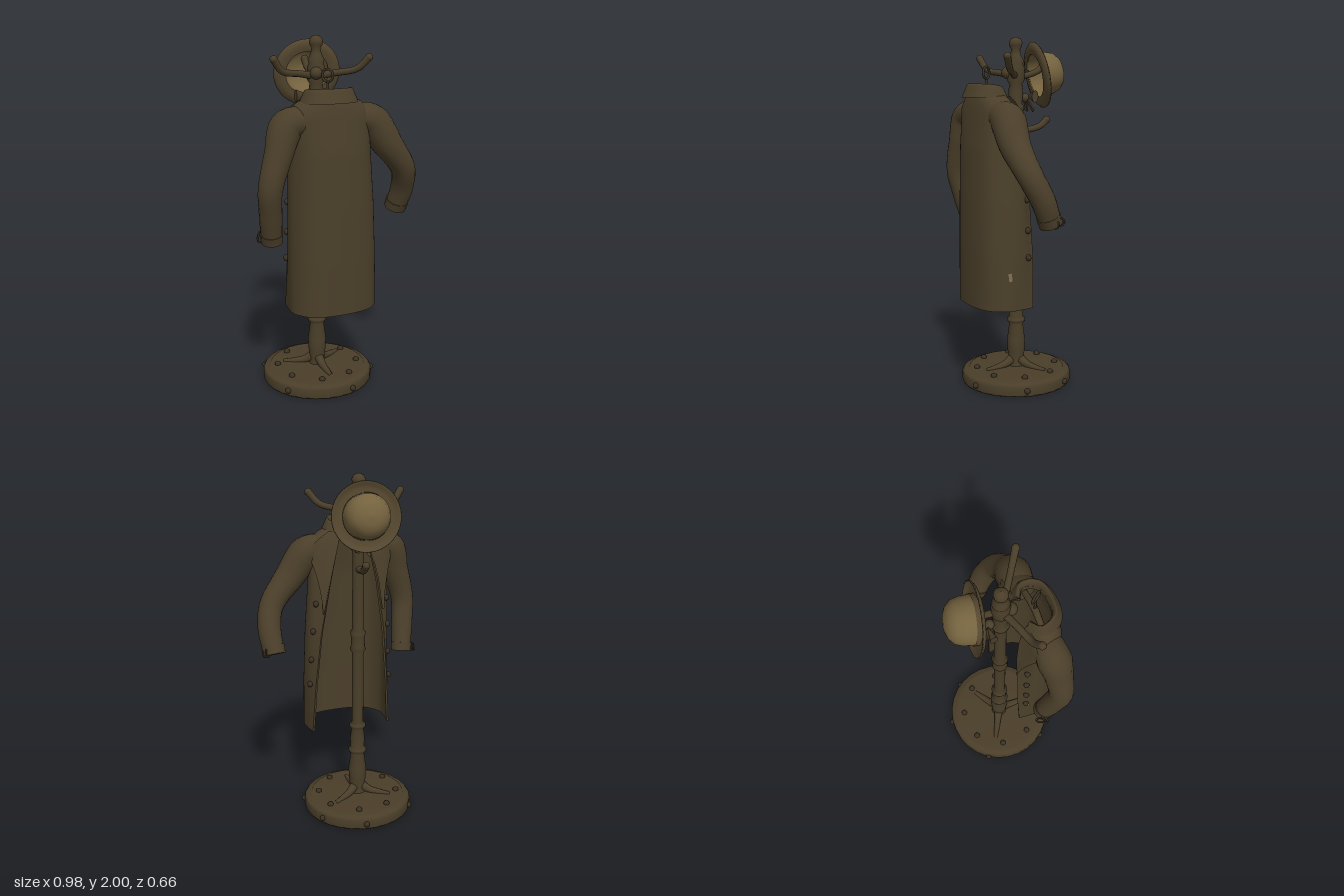
import * as THREE from 'three';

const V = (x, y, z) => new THREE.Vector3(x, y, z);
const mat = (name, color, side = THREE.FrontSide) => {
  const m = new THREE.MeshStandardMaterial({ color, side });
  m.name = name;
  return m;
};

// Coat sections: height, centre x, half width, half opening, front z, back z
const ROWS = [
  [0.5, -0.04, 0.25, 0.24, 0.04, 0.325], [0.8, -0.04, 0.247, 0.22, 0.03, 0.325],
  [1.1, -0.045, 0.24, 0.19, 0.03, 0.32], [1.4, -0.055, 0.228, 0.14, 0.04, 0.31],
  [1.52, -0.06, 0.23, 0.11, 0.06, 0.295], [1.6, -0.065, 0.235, 0.09, 0.08, 0.285],
  [1.655, -0.07, 0.19, 0.08, 0.1, 0.275], [1.69, -0.075, 0.12, 0.07, 0.12, 0.265],
];

// Point on the coat at height y; u runs from the +x opening edge round the back to the -x edge
function coatPoint(y, u, off = 0, yOut = y) {
  let i = 0;
  while (i < ROWS.length - 2 && y > ROWS[i + 1][0]) i++;
  const a = ROWS[i], b = ROWS[i + 1];
  const t = THREE.MathUtils.clamp((y - a[0]) / (b[0] - a[0]), 0, 1);
  const [, cx, hw, ex, zf, zb] = a.map((v, k) => v + (b[k] - v) * t);
  const d = zb - zf;
  const half = [[ex, zf], [hw, zf + d * 0.25], [hw, zf + d * 0.55], [hw * 0.72, zb - d * 0.12]];
  const pts = [...half, [0, zb], ...half.slice().reverse().map(([x, z]) => [-x, z])];
  const c = new THREE.CatmullRomCurve3(pts.map(([x, z]) => V(cx + x, 0, z)), false, 'centripetal');
  const p = c.getPoint(u), tan = c.getTangent(u);
  return V(p.x + tan.z * off, yOut, p.z - tan.x * off);
}

// Smooth surface from a grid of points
function grid(rows, cols, fn) {
  const pos = [], idx = [];
  for (let i = 0; i <= rows; i++) for (let j = 0; j <= cols; j++) pos.push(...fn(i / rows, j / cols).toArray());
  for (let i = 0; i < rows; i++) for (let j = 0; j < cols; j++) {
    const a = i * (cols + 1) + j, b = a + cols + 1;
    idx.push(a, a + 1, b, b, a + 1, b + 1);
  }
  const g = new THREE.BufferGeometry();
  g.setAttribute('position', new THREE.Float32BufferAttribute(pos, 3));
  g.setIndex(idx);
  g.computeVertexNormals();
  return g;
}

// Tube whose radius changes along its length
function taperTube(points, radii, seg = 30, sides = 18) {
  const curve = new THREE.CatmullRomCurve3(points.map((p) => V(...p)));
  const g = new THREE.TubeGeometry(curve, seg, 1, sides, false), pos = g.attributes.position, v = V(0, 0, 0);
  for (let i = 0; i <= seg; i++) {
    const c = curve.getPointAt(i / seg), f = (i / seg) * (radii.length - 1);
    const k = Math.min(Math.floor(f), radii.length - 2);
    const r = radii[k] + (radii[k + 1] - radii[k]) * (f - k);
    for (let j = 0; j <= sides; j++) {
      const n = i * (sides + 1) + j;
      v.fromBufferAttribute(pos, n).sub(c).multiplyScalar(r).add(c);
      pos.setXYZ(n, v.x, v.y, v.z);
    }
  }
  return g;
}

const lathe = (pts, seg = 32) => new THREE.LatheGeometry(pts.map(([r, y]) => new THREE.Vector2(r, y)), seg);

export function createModel() {
  const root = new THREE.Group();
  const wood = mat('dark wood', 0x4a3e29);
  const cloth = mat('coat cloth', 0x4b3f2a, THREE.DoubleSide);
  const felt = mat('hat felt', 0x75633f, THREE.DoubleSide);
  const brimMat = mat('hat brim', 0x55472f, THREE.DoubleSide);
  const metal = mat('dark metal', 0x3a3122);
  const worn = mat('worn patch', 0x84714e, THREE.DoubleSide);
  const add = (name, geo, m, p = [0, 0, 0], parent = root) => {
    const mesh = new THREE.Mesh(geo, m);
    mesh.name = name;
    mesh.position.set(...p);
    parent.add(mesh);
    return mesh;
  };
  const ball = (r) => new THREE.SphereGeometry(r, 14, 10);

  // Stand: base, turned pole, studs and ribs
  const stand = new THREE.Group();
  stand.name = 'stand';
  stand.position.x = -0.065;
  root.add(stand);
  add('base', lathe([[0, 0], [0.315, 0], [0.32, 0.01], [0.32, 0.055], [0.31, 0.068], [0.285, 0.07], [0.278, 0.08], [0, 0.085]], 28), wood, [0, 0, 0], stand);
  add('pole', lathe([[0.05, 0.07], [0.042, 0.11], [0.05, 0.17], [0.053, 0.24], [0.04, 0.34], [0.052, 0.355], [0.054, 0.37],
    [0.04, 0.385], [0.044, 0.44], [0.036, 0.5], [0.048, 0.515], [0.048, 0.53], [0.034, 0.545], [0.034, 0.98], [0.046, 1.0],
    [0.04, 1.02], [0.04, 1.08], [0.047, 1.1], [0.034, 1.12], [0.032, 1.57], [0.046, 1.59], [0.048, 1.61], [0.036, 1.63],
    [0.042, 1.7], [0.036, 1.74], [0.05, 1.76], [0.05, 1.83], [0.04, 1.85], [0.046, 1.87], [0.03, 1.9], [0.025, 1.93],
    [0.036, 1.95], [0.038, 1.97], [0.026, 1.992], [0, 2]], 24), wood, [0, 0, 0], stand);
  for (const deg of [18, 75, 145, 216, 280, 329]) {
    const a = THREE.MathUtils.degToRad(deg);
    add('rimStud', ball(0.017), metal, [Math.cos(a) * 0.322, 0.035, Math.sin(a) * 0.322], stand);
  }
  for (let i = 0; i < 8; i++) {
    const a = (i / 8) * Math.PI * 2 + 0.3;
    add('topStud', ball(0.018), metal, [Math.cos(a) * 0.235, 0.083, Math.sin(a) * 0.235], stand);
  }
  for (const deg of [90, 210, 330]) {
    const a = THREE.MathUtils.degToRad(deg), at = (r, y) => [Math.cos(a) * r, y, Math.sin(a) * r];
    add('baseRib', taperTube([at(0.02, 0.13), at(0.07, 0.1), at(0.14, 0.085), at(0.2, 0.08)], [0.03, 0.022, 0.018, 0.012], 16, 10), wood, [0, 0, 0], stand);
  }

  // Pegs: two at the front, one under the hat, one low at the back
  const pegs = [
    [[-0.065, 1.78, 0], [-0.18, 1.8, 0.035], [-0.29, 1.82, 0.065], [-0.345, 1.885, 0.085]],
    [[-0.065, 1.78, 0], [0.02, 1.8, 0.07], [0.115, 1.825, 0.14], [0.165, 1.885, 0.18]],
    [[-0.065, 1.78, 0], [-0.06, 1.79, -0.08], [-0.055, 1.82, -0.15], [-0.055, 1.86, -0.18]],
    [[-0.065, 1.475, 0], [-0.055, 1.48, -0.08], [-0.045, 1.5, -0.15], [-0.04, 1.535, -0.19]],
  ];
  for (const p of pegs) {
    add('peg', taperTube(p, [0.022, 0.018, 0.018, 0.02], 20, 10), wood);
    add('pegTip', ball(0.021), wood, p[3]);
  }
  add('pegBoss', ball(0.034), wood, [-0.085, 1.8, 0.045]);

  // Hanger with its ring
  add('hangerBar', taperTube([[-0.26, 1.59, 0.18], [-0.16, 1.63, 0.18], [-0.08, 1.66, 0.18], [0.02, 1.63, 0.18], [0.12, 1.59, 0.18]], [0.015, 0.02, 0.015], 20, 8), wood);
  add('hangerStem', new THREE.CylinderGeometry(0.007, 0.007, 0.12, 8), metal, [-0.08, 1.71, 0.18]);
  add('hangerRing', new THREE.TorusGeometry(0.033, 0.007, 8, 24), metal, [-0.08, 1.8, 0.18]).rotation.y = Math.PI * 0.68;

  // Coat body: outer cloth, lining and the strips that join them
  const coat = new THREE.Group();
  coat.name = 'coat';
  root.add(coat);
  const height = (t) => 0.5 + 1.19 * t;
  add('coatShell', grid(40, 56, (t, u) => coatPoint(height(t), u)), cloth, [0, 0, 0], coat);
  add('coatLining', grid(40, 56, (t, u) => coatPoint(height(t), u, -0.012)), cloth, [0, 0, 0], coat);
  add('hemEdge', grid(1, 56, (t, u) => coatPoint(0.5, u, -0.012 * t)), cloth, [0, 0, 0], coat);
  for (const u of [0, 1]) add('frontEdge', grid(40, 1, (t, s) => coatPoint(height(t), u, -0.012 * s)), cloth, [0, 0, 0], coat);

  // Folded collar
  const fold = new THREE.CatmullRomCurve3([V(-0.012, 1.66, 0), V(-0.008, 1.72, 0), V(0.006, 1.74, 0), V(0.024, 1.705, 0), V(0.042, 1.665, 0)]);
  add('collar', grid(10, 40, (t, u) => {
    const p = fold.getPoint(t), drop = 0.035 * Math.pow(Math.abs(2 * u - 1), 3);
    return coatPoint(1.69, u, p.x, p.y - drop);
  }), cloth, [0, 0, 0], coat);

  // Lapels and front buttons, mirrored across the opening
  for (const side of [0, 1]) {
    const at = (u) => (side ? 1 - u : u);
    add('lapel', grid(16, 6, (t, s) => {
      const w = t < 0.75 ? 0.13 * t / 0.75 : 0.13 - 0.2 * (t - 0.75);
      return coatPoint(1.22 + 0.45 * t, at(s * w), 0.008 + 0.014 * s);
    }), cloth, [0, 0, 0], coat);
    for (const y of [0.79, 0.94, 1.11, 1.27]) {
      const b = add('button', ball(0.018), metal, coatPoint(y, at(0.075), 0.006).toArray(), coat);
      b.scale.set(0.9, 1, 0.9);
    }
  }

  // Small worn patches on the coat
  for (const [y, u] of [[0.69, 0.24], [0.74, 0.9]]) {
    add('wornPatch', grid(3, 3, (t, s) => coatPoint(y - 0.02 + 0.045 * t, u + 0.025 * (s - 0.5) + 0.006 * t, 0.004)), worn, [0, 0, 0], coat);
  }

  // Sleeves with cuffs and cuff loops
  const sleeves = [
    { path: [[0.07, 1.57, 0.18], [0.17, 1.55, 0.185], [0.28, 1.41, 0.195], [0.395, 1.26, 0.17], [0.425, 1.14, 0.115], [0.415, 1.01, 0.06]],
      r: [0.075, 0.098, 0.088, 0.075, 0.068, 0.066, 0.06], loop: [0.462, 1.015, 0.06] },
    { path: [[-0.21, 1.57, 0.18], [-0.31, 1.55, 0.18], [-0.37, 1.4, 0.195], [-0.42, 1.22, 0.2], [-0.41, 1.08, 0.17], [-0.39, 0.92, 0.13]],
      r: [0.075, 0.093, 0.078, 0.07, 0.064, 0.062, 0.056], loop: [-0.448, 0.935, 0.11] },
  ];
  for (const { path, r, loop } of sleeves) {
    add('sleeve', taperTube(path, r, 40, 20), cloth, [0, 0, 0], coat);
    const end = V(...path[5]), dir = end.clone().sub(V(...path[4])).normalize(), er = r[r.length - 1];
    const cuff = add('cuff', new THREE.CylinderGeometry(er + 0.004, er + 0.006, 0.05, 20), cloth, end.clone().addScaledVector(dir, -0.018).toArray(), coat);
    cuff.quaternion.setFromUnitVectors(V(0, 1, 0), dir);
    for (const k of [0, 1]) {
      const ring = add('cuffLoop', new THREE.TorusGeometry(0.022, 0.005, 8, 16), metal, [loop[0], loop[1] + k * 0.01, loop[2] - k * 0.03], coat);
      ring.rotation.set(0.5 * k, 0.4 + 0.6 * k, 0);
    }
  }

  // Round hat hanging behind the pole
  const hat = new THREE.Group();
  hat.name = 'hat';
  hat.position.set(-0.062, 1.785, -0.125);
  hat.quaternion.setFromUnitVectors(V(0, 1, 0), V(0.2, 0.2, -1).normalize());
  root.add(hat);
  add('hatCrown', lathe([[0.125, 0], [0.124, 0.04], [0.121, 0.08], [0.108, 0.12], [0.08, 0.147], [0.045, 0.161], [0, 0.166]], 36), felt, [0, 0, 0], hat);
  add('hatBand', lathe([[0.128, 0.002], [0.128, 0.032]], 36), brimMat, [0, 0, 0], hat);
  add('hatBrim', lathe([[0.122, 0.0], [0.15, -0.004], [0.175, 0.002], [0.19, 0.016], [0.187, 0.024], [0.172, 0.011], [0.15, 0.004], [0.122, 0.006]], 36), brimMat, [0, 0, 0], hat);

  // Ribbon bow tied to the pole under the hat
  const bow = new THREE.Group();
  bow.name = 'bow';
  bow.position.set(-0.065, 1.66, -0.06);
  root.add(bow);
  add('bowKnot', ball(0.026), cloth, [0, 0, 0], bow);
  for (const s of [-1, 1]) {
    const loop = add('bowLoop', new THREE.ConeGeometry(0.035, 0.09, 12), cloth, [s * 0.045, 0.008, -0.015], bow);
    loop.rotation.z = s * Math.PI / 2;
    loop.scale.z = 0.6;
    const tail = add('bowTail', new THREE.BoxGeometry(0.025, 0.08, 0.008), cloth, [s * 0.025, -0.04, -0.02], bow);
    tail.rotation.set(0.4, 0, s * 0.4);
  }
  return root;
}
